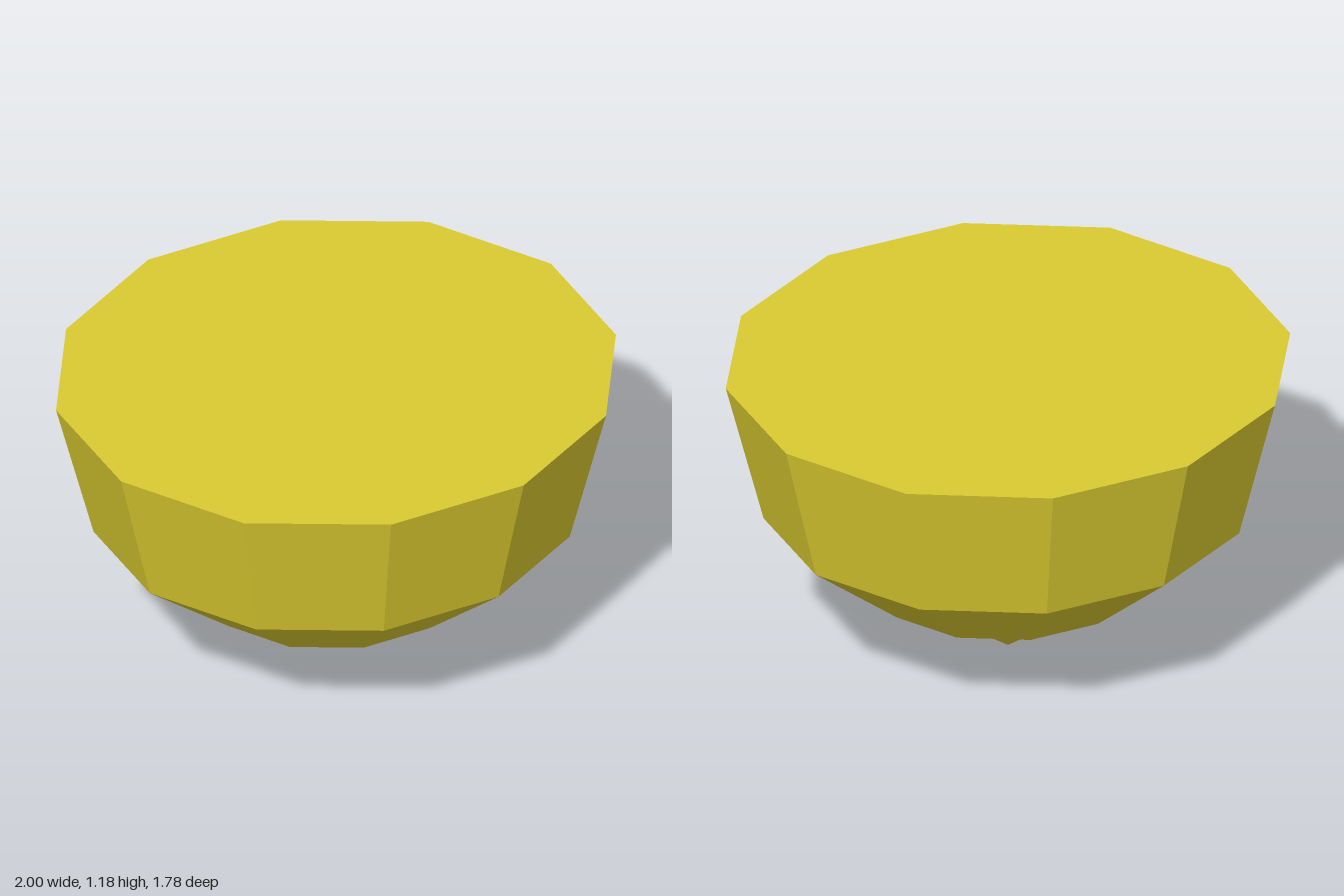
import * as THREE from 'three';

export function createModel() {
  const group = new THREE.Group();
  const yellow = new THREE.MeshStandardMaterial({ color: 0xdaca30, flatShading: true });
  yellow.name = 'yellow';

  // Profile from the pointed tip up to the flat lid: [radius, height]
  const profile = [[0, 0], [0.25, 0.195], [0.5, 0.308], [0.866, 0.628], [1, 1.185], [0, 1.185]]
    .map(([r, y]) => new THREE.Vector2(r, y));

  // Twelve-sided faceted body, slightly narrower from front to back
  const geometry = new THREE.LatheGeometry(profile, 12).scale(1, 1, 0.89).toNonIndexed();
  geometry.computeVertexNormals();
  const body = new THREE.Mesh(geometry, yellow);
  body.name = 'facetedBody';
  group.add(body);
  return group;
}
